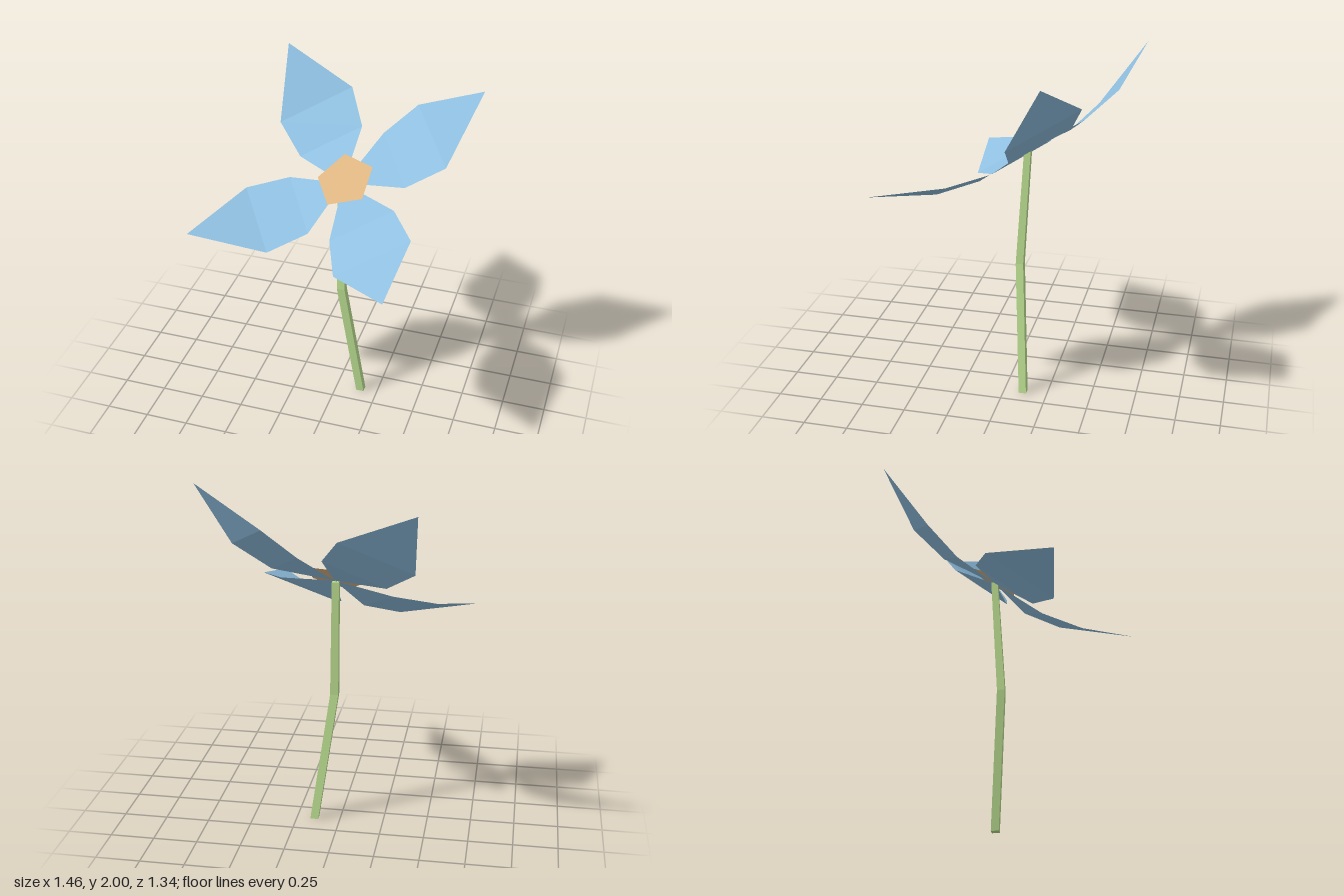
import * as THREE from 'three';

const material = (name, color, side = THREE.FrontSide) => {
  const m = new THREE.MeshStandardMaterial({ color, side, flatShading: true });
  m.name = name;
  return m;
};

// Faceted open surface from a few corners and triangles
function facets(name, points, triangles, mat) {
  const geo = new THREE.BufferGeometry();
  geo.setAttribute('position', new THREE.Float32BufferAttribute(points.flat(), 3));
  geo.setIndex(triangles.flat());
  const flat = geo.toNonIndexed();
  flat.computeVertexNormals();
  const mesh = new THREE.Mesh(flat, mat);
  mesh.name = name;
  return mesh;
}

export function createModel() {
  const group = new THREE.Group();
  group.name = 'flower';
  const blue = material('petalBlue', 0x8fbfe0, THREE.DoubleSide);
  const tan = material('centreTan', 0xdeb582, THREE.DoubleSide);
  const green = material('stemGreen', 0xbde092);

  // Stem: square bar with one bend, shifted level by level
  const path = [[0.148, 0, -0.11], [0.036, 0.77, -0.065], [0.022, 1.44, -0.103]];
  const stemGeo = new THREE.BoxGeometry(0.046, 2, 0.043, 1, 2, 1);
  const pos = stemGeo.attributes.position;
  for (let i = 0; i < pos.count; i++) {
    const level = Math.round(pos.getY(i) + 1);
    const [x, y, z] = path[level];
    const taper = level === 2 ? 0.85 : 1;
    pos.setXYZ(i, pos.getX(i) * taper + x, y, pos.getZ(i) * taper + z);
  }
  stemGeo.computeVertexNormals();
  const stem = new THREE.Mesh(stemGeo, green);
  stem.name = 'stem';
  group.add(stem);

  // Petals: hub point, inner pair, outer pair, tip
  const hub = [0.03, 1.445, -0.103];
  const petals = {
    petalBackRight: [[0.045, 1.64, -0.41], [-0.275, 1.467, -0.275],
      [-0.063, 1.787, -0.575], [-0.438, 1.588, -0.413], [-0.47, 1.957, -0.672]],
    petalBackLeft: [[0.38, 1.49, -0.08], [0.18, 1.64, -0.37],
      [0.59, 1.63, -0.11], [0.35, 1.80, -0.45], [0.73, 2.0, -0.315]],
    petalFrontLeft: [[0.035, 1.24, 0.168], [0.352, 1.407, 0.03],
      [0.125, 1.175, 0.39], [0.497, 1.37, 0.23], [0.466, 1.267, 0.667]],
    petalFrontRight: [[-0.30, 1.39, -0.165], [-0.10, 1.235, 0.13],
      [-0.528, 1.333, -0.075], [-0.29, 1.16, 0.265], [-0.733, 1.222, 0.31]],
  };
  const petalFaces = [[0, 1, 2], [1, 3, 4], [1, 4, 2], [3, 5, 4]];
  for (const [name, pts] of Object.entries(petals)) {
    group.add(facets(name, [hub, ...pts], petalFaces, blue));
  }

  // Centre: flat tilted pentagon just above the hub
  const rim = [[-0.005, 1.544, -0.245], [-0.125, 1.44, -0.13], [-0.025, 1.365, 0.012],
    [0.165, 1.424, -0.008], [0.175, 1.533, -0.17]];
  group.add(facets('flowerCentre', rim, [[0, 1, 2], [0, 2, 3], [0, 3, 4]], tan));

  return group;
}
